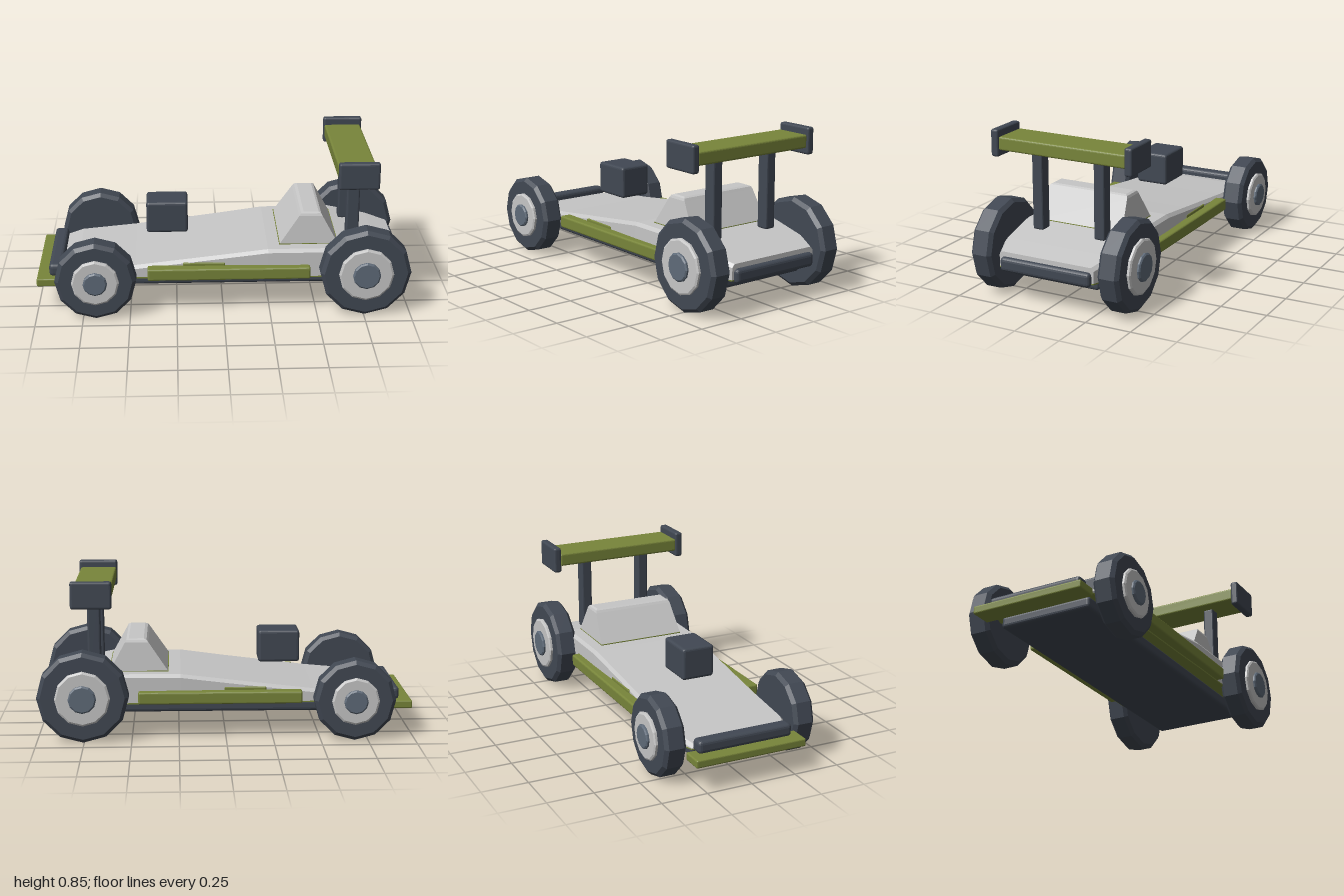
import * as THREE from 'three';
import { RoundedBoxGeometry } from 'three/addons/geometries/RoundedBoxGeometry.js';

const material = (name, color) => {
  const m = new THREE.MeshStandardMaterial({ color, flatShading: true });
  m.name = name;
  return m;
};

export function createModel() {
  const car = new THREE.Group();
  car.name = 'raceCar';
  const grey = material('lightGrey', 0xc6c6c6);
  const dark = material('darkSlate', 0x414853);
  const green = material('oliveGreen', 0x78853a);
  const steel = material('steelBlue', 0x5f6b79);

  const add = (name, geometry, mat, parent = car) => {
    const mesh = new THREE.Mesh(geometry, mat);
    mesh.name = name;
    parent.add(mesh);
    return mesh;
  };

  // Box with softened edges, given by its limits on each axis
  const block = (name, mat, [x0, x1], [y0, y1], [z0, z1], r = 0.01) => {
    const g = new RoundedBoxGeometry(x1 - x0, y1 - y0, z1 - z0, 2, r);
    g.translate((x0 + x1) / 2, (y0 + y1) / 2, (z0 + z1) / 2);
    return add(name, g, mat);
  };

  // Closed skin over a row of equal-length rings, capped at both ends
  const loft = (rings) => {
    const n = rings[0].length, last = (rings.length - 1) * n, index = [];
    for (let i = 0; i < rings.length - 1; i++) {
      for (let j = 0; j < n; j++) {
        const a = i * n + j, b = i * n + (j + 1) % n;
        index.push(a, a + n, b, b, a + n, b + n);
      }
    }
    for (let k = 1; k < n - 1; k++) {
      index.push(0, k, k + 1, last, last + k + 1, last + k);
    }
    const indexed = new THREE.BufferGeometry();
    indexed.setAttribute('position', new THREE.Float32BufferAttribute(rings.flat(2), 3));
    indexed.setIndex(index);
    const g = indexed.toNonIndexed();
    g.computeVertexNormals();
    return g;
  };

  // Wedge body: x, half width, deck height
  const sections = [
    [-0.87, 0.27, 0.21], [-0.78, 0.3, 0.228], [-0.47, 0.307, 0.255], [0, 0.315, 0.312],
    [0.24, 0.322, 0.343], [0.62, 0.325, 0.345], [0.84, 0.312, 0.3], [0.955, 0.272, 0.27],
  ];
  add('body', loft(sections.map(([x, w, t]) => [
    [x, 0.19, w], [x, t - 0.018, w], [x, t, w - 0.015],
    [x, t, 0.015 - w], [x, t - 0.018, -w], [x, 0.19, -w],
  ])), grey);
  add('belly', loft(sections.map(([x, w]) => [
    [x, 0.183, w], [x, 0.19, w], [x, 0.19, -w], [x, 0.183, -w],
  ])), green);
  block('chassis', dark, [-0.83, 0.88], [0.122, 0.186], [-0.257, 0.257], 0.018);

  // Cockpit canopy on its trim plate: height, x limits, half width
  const canopy = [
    [0.345, 0.305, 0.62, 0.247], [0.5, 0.41, 0.535, 0.232],
    [0.513, 0.42, 0.528, 0.227], [0.519, 0.435, 0.515, 0.215],
  ];
  add('canopy', loft(canopy.map(([y, a, b, w]) => [
    [a, y, -w], [b, y, -w], [b, y, w], [a, y, w],
  ])), grey);
  const trim = new THREE.BoxGeometry(0.318, 0.006, 0.496);
  trim.translate(0.4625, 0.345, 0);
  add('canopyTrim', trim, green);

  // Engine box, bumpers and front wing
  block('engineBox', dark, [-0.41, -0.185], [0.355, 0.53], [-0.091, 0.091], 0.015);
  block('frontBumper', dark, [-0.935, -0.86], [0.18, 0.25], [-0.265, 0.265], 0.02);
  block('rearBumper', dark, [0.935, 0.98], [0.17, 0.245], [-0.26, 0.26], 0.02);
  block('frontWing', green, [-1, -0.88], [0.143, 0.186], [-0.31, 0.31], 0.008);

  // Rear wing
  block('rearWing', green, [0.6, 0.8], [0.745, 0.816], [-0.365, 0.365]);

  // Tyre, rim and hub turned about the axle, pointing outward on the given side
  const turned = (points) =>
    new THREE.LatheGeometry(points.map(([r, h]) => new THREE.Vector2(r, h)), 12);
  const wheel = (name, x, r, rim, hub, side) => {
    const g = new THREE.Group();
    g.name = name;
    add('tyre', turned([[0, 0], [r - 0.02, 0], [r, 0.018], [r, 0.1], [r - 0.02, 0.118], [0, 0.118]]), dark, g);
    add('rim', turned([[rim, 0.11], [rim, 0.13], [rim - 0.01, 0.136], [0, 0.136]]), grey, g);
    add('hub', turned([[hub, 0.13], [hub, 0.145], [hub - 0.008, 0.151], [0, 0.151]]), steel, g);
    g.rotation.x = side * Math.PI / 2;
    g.position.set(x, r, side * 0.308);
    car.add(g);
  };

  // Parts on both sides
  for (const s of [1, -1]) {
    const side = s > 0 ? 'left' : 'right';
    const z = (a, b) => (s > 0 ? [a, b] : [-b, -a]);
    wheel(side + 'FrontWheel', -0.68, 0.216, 0.126, 0.064, s);
    wheel(side + 'RearWheel', 0.755, 0.242, 0.146, 0.074, s);
    block(side + 'SidePod', green, [-0.405, 0.465], [0.19, 0.256], z(0.3, 0.365));
    block(side + 'SideStrip', green, [-0.215, 0.01], [0.235, 0.272], z(0.295, 0.318), 0.006);
    block(side + 'WingStrut', dark, [0.665, 0.735], [0.33, 0.75], z(0.149, 0.21));
    block(side + 'WingEndPlate', dark, [0.595, 0.81], [0.71, 0.854], z(0.362, 0.405), 0.012);
  }
  return car;
}
